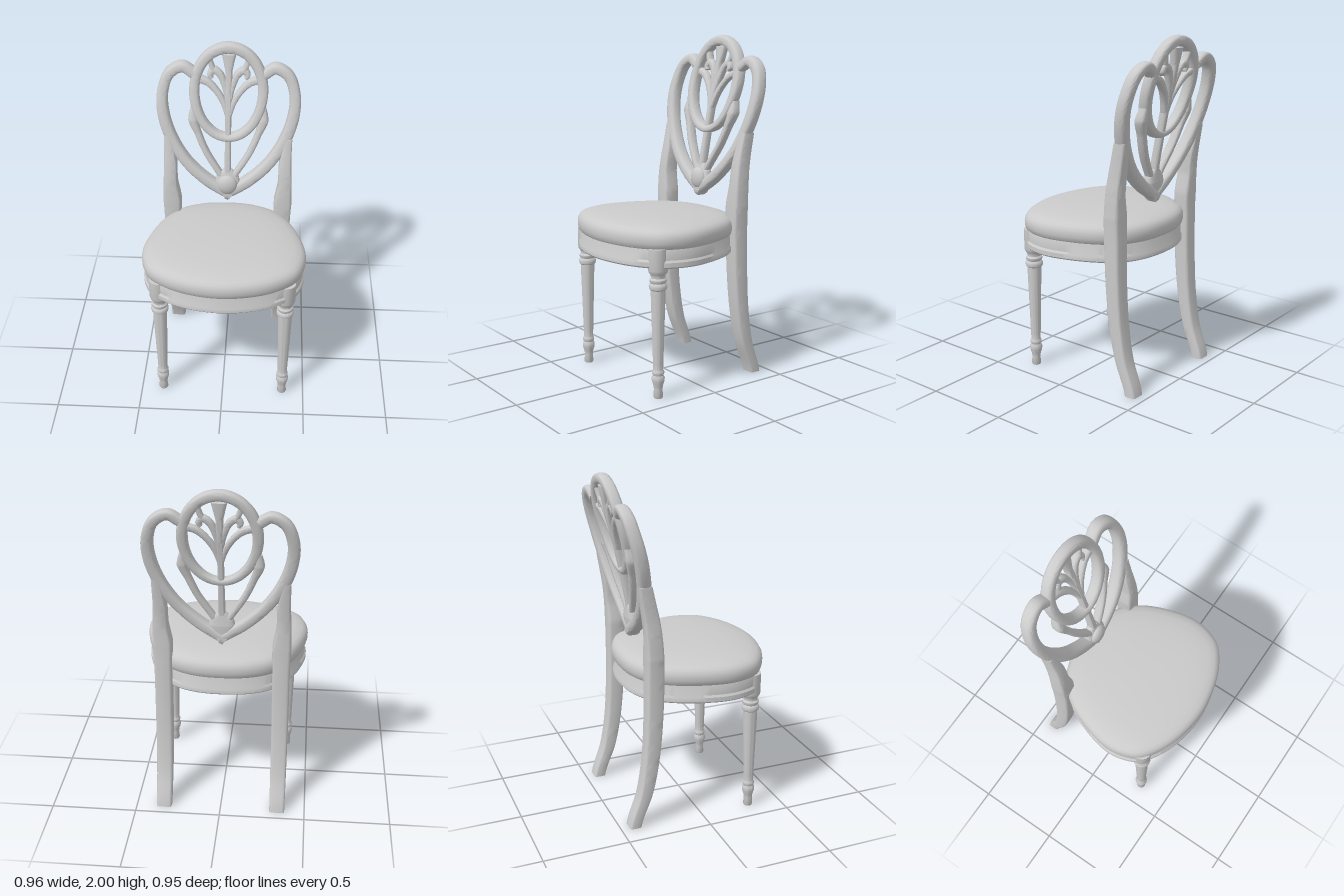
import * as THREE from 'three';
import { toCreasedNormals } from 'three/addons/utils/BufferGeometryUtils.js';

const wood = new THREE.MeshStandardMaterial({ color: 0xcacaca });
wood.name = 'pale grey';

// Backward lean of the back frame and rear legs, sampled every 0.2 in height
const lean = new THREE.SplineCurve(
  [-0.415, -0.347, -0.31, -0.292, -0.284, -0.282, -0.293, -0.327, -0.367, -0.415, -0.447]
    .map((z, i) => new THREE.Vector2(i * 0.2, z)));
const backZ = (y) => lean.getPoint(THREE.MathUtils.clamp(y / 2, 0, 1)).y;

// Skin a list of equal-length closed rings
function skin(rings, crease, loop = false) {
  const n = rings[0].length, m = rings.length, index = [];
  for (let i = 0; i < (loop ? m : m - 1); i++) {
    for (let j = 0; j < n; j++) {
      const k = (j + 1) % n, i2 = (i + 1) % m;
      const a = i * n + j, b = i * n + k, c = i2 * n + k, d = i2 * n + j;
      index.push(a, b, c, a, c, d);
    }
  }
  const geo = new THREE.BufferGeometry();
  geo.setAttribute('position', new THREE.Float32BufferAttribute(rings.flat(2), 3));
  geo.setIndex(index);
  return toCreasedNormals(geo, crease);
}

// Linear lookup in an evenly spaced list
function along(list, t) {
  const f = t * (list.length - 1), i = Math.min(Math.floor(f), list.length - 2);
  return list.length < 2 ? list[0] : THREE.MathUtils.lerp(list[i], list[i + 1], f - i);
}

// Rounded bar following an [x, y] path on the leaning back surface
function bar(path, { width, depth, side = 1, loop = false, steps = 40, square = 0.65, dz = 0 }) {
  const curve = new THREE.CatmullRomCurve3(
    path.map(([x, y]) => new THREE.Vector3(x * side, y, 0)), loop, 'centripetal');
  const rings = [], seg = 20;
  const power = (v) => Math.sign(v) * Math.abs(v) ** square;
  for (let i = 0; i < (loop ? steps : steps + 1); i++) {
    const t = i / steps, p = curve.getPoint(t), d = curve.getTangent(t);
    const w = along(width, t) / 2, h = along(depth, t) / 2, ring = [];
    for (let j = 0; j < seg; j++) {
      const a = (j / seg) * Math.PI * 2, u = power(Math.cos(a)) * w, v = power(Math.sin(a)) * h;
      const x = p.x - d.y * u, y = p.y + d.x * u;
      ring.push([x, y, backZ(y) + v + dz]);
    }
    rings.push(ring);
  }
  if (!loop) {
    const cap = (ring) => {
      const c = [0, 1, 2].map((k) => ring.reduce((s, q) => s + q[k], 0) / seg);
      return ring.map(() => c);
    };
    rings.unshift(cap(rings[0]));
    rings.push(cap(rings[rings.length - 1]));
  }
  return skin(rings, 0.9, loop);
}

// Seat outline, front centre round the left side to the back, then mirrored
function seatOutline() {
  const half = [[0, 0.475], [0.2, 0.445], [0.33, 0.39], [0.425, 0.315], [0.468, 0.22], [0.48, 0.12],
    [0.46, 0], [0.415, -0.13], [0.365, -0.22], [0.28, -0.31], [0.15, -0.365], [0, -0.38]];
  const other = half.slice(1, -1).reverse().map(([x, z]) => [-x, z]);
  const curve = new THREE.CatmullRomCurve3(
    [...half, ...other].map(([x, z]) => new THREE.Vector3(x, 0, z)), true);
  return curve.getPoints(96).slice(0, 96);
}

// Stack of scaled seat outlines, given as [scale, height]
function seatLoft(profile) {
  const outline = seatOutline(), cz = 0.05;
  return skin(profile.map(([s, y]) => outline.map((p) => [p.x * s, y, cz + (p.z - cz) * s])), 0.6);
}

export function createModel() {
  const model = new THREE.Group();
  model.name = 'chair';
  const add = (name, geo, parent = model) => {
    const mesh = new THREE.Mesh(geo, wood);
    mesh.name = name;
    parent.add(mesh);
    return mesh;
  };

  // Seat: hollow moulded rail and domed cushion
  add('seatRail', seatLoft([[0, 0.85], [0.8, 0.85], [0.8, 0.755], [0.97, 0.752], [0.985, 0.76],
    [0.985, 0.785], [0.967, 0.797], [0.967, 0.855], [0.95, 0.87], [0, 0.87]]));
  add('cushion', seatLoft([[0, 0.855], [0.96, 0.855], [0.985, 0.868], [0.998, 0.89], [1, 0.91], [0.993, 0.93],
    [0.97, 0.948], [0.93, 0.961], [0.85, 0.973], [0.7, 0.984], [0.5, 0.992], [0.25, 0.997], [0, 0.998]]));

  // Turned front legs with a plain corner block above
  const turned = [[0, 0], [0.024, 0], [0.028, 0.008], [0.024, 0.05], [0.028, 0.075], [0.036, 0.1], [0.037, 0.12],
    [0.03, 0.135], [0.034, 0.145], [0.034, 0.155], [0.028, 0.165], [0.029, 0.2], [0.041, 0.6], [0.041, 0.625],
    [0.049, 0.632], [0.052, 0.645], [0.049, 0.658], [0.042, 0.665], [0.048, 0.675], [0.048, 0.685],
    [0.04, 0.695], [0.041, 0.71], [0.052, 0.725], [0.056, 0.74], [0.056, 0.86], [0, 0.86]]
    .map(([r, y]) => new THREE.Vector2(r, y));
  const legGeo = toCreasedNormals(new THREE.LatheGeometry(turned, 28), 0.6);

  const back = new THREE.Group();
  back.name = 'back';
  model.add(back);

  for (const side of [1, -1]) {
    const label = side > 0 ? 'left' : 'right';
    add(label + 'FrontLeg', legGeo).position.set(0.368 * side, 0, 0.303);

    // Sabre rear leg running up into the back post
    add(label + 'RearLeg', bar([[0.337, 0], [0.337, 0.3], [0.337, 0.6], [0.336, 0.9], [0.337, 1.03],
      [0.345, 1.15], [0.343, 1.28], [0.355, 1.45]], {
      side, width: [0.09, 0.095, 0.098, 0.1, 0.108, 0.083, 0.075, 0.05],
      depth: [0.07, 0.083, 0.094, 0.102, 0.1, 0.094, 0.088, 0.075], square: 0.35, steps: 56,
    }));

    // Heart-shaped outer frame
    add(label + 'HeartFrame', bar([[-0.022, 1.073], [0.12, 1.165], [0.24, 1.28], [0.33, 1.42], [0.38, 1.57],
      [0.385, 1.7], [0.345, 1.81], [0.27, 1.852], [0.205, 1.815]], {
      side, width: [0.066, 0.066, 0.064, 0.07, 0.07, 0.066, 0.062, 0.06, 0.06],
      depth: [0.08, 0.08, 0.075, 0.075, 0.075, 0.07], steps: 60,
    }), back);

    // Outer splat rib rising to the oval, with a small knuckle at its top
    add(label + 'Rib', bar([[0.01, 1.15], [0.045, 1.21], [0.13, 1.35], [0.18, 1.47], [0.207, 1.55],
      [0.205, 1.62]], {
      side, width: [0.045, 0.036, 0.036, 0.04, 0.058, 0.03], depth: [0.05, 0.05, 0.055, 0.055, 0.07, 0.05],
    }), back);

    // Plumes fanning from the central stem
    add(label + 'OuterPlume', bar([[0.003, 1.56], [0.03, 1.65], [0.075, 1.72], [0.125, 1.765], [0.185, 1.785]], {
      side, width: [0.025, 0.035, 0.035, 0.04, 0.045], depth: [0.045],
    }), back);
    add(label + 'InnerPlume', bar([[0.005, 1.65], [0.025, 1.75], [0.055, 1.815], [0.09, 1.835],
      [0.108, 1.81], [0.098, 1.79]], {
      side, width: [0.025, 0.035, 0.04, 0.04, 0.035, 0.02], depth: [0.045],
    }), back);
    add(label + 'PlumeTip', bar([[0.085, 1.83], [0.1, 1.86], [0.115, 1.905]], {
      side, width: [0.03, 0.03], depth: [0.045], steps: 12,
    }), back);
  }

  // Oval ring, slightly fuller at the top
  const oval = [];
  for (let i = 0; i < 24; i++) {
    const a = (i / 24) * Math.PI * 2 + Math.PI / 2;
    oval.push([Math.cos(a) * (0.2 + 0.008 * Math.sin(a)), 1.705 + Math.sin(a) * 0.262]);
  }
  add('ovalRing', bar(oval, {
    loop: true, steps: 80, width: [0.06, 0.06, 0.042, 0.06, 0.06], depth: [0.068], dz: 0.004,
  }), back);

  // Central stem opening into the top plume
  add('stem', bar([[0, 1.12], [0, 1.4], [0, 1.6], [0, 1.72], [0, 1.83], [0, 1.93]], {
    width: [0.045, 0.036, 0.036, 0.045, 0.04, 0.085], depth: [0.05],
  }), back);

  // Leaf-shaped base of the splat with a raised boss
  add('splatBase', bar([[0, 1.045], [0, 1.1], [0, 1.16], [0, 1.2], [0, 1.24]], {
    width: [0.01, 0.11, 0.15, 0.13, 0.05], depth: [0.06, 0.075, 0.075, 0.06, 0.045], steps: 24,
  }), back);
  const boss = add('boss', new THREE.SphereGeometry(1, 28, 18), back);
  boss.scale.set(0.06, 0.065, 0.035);
  boss.position.set(0, 1.15, backZ(1.15) + 0.026);

  return model;
}
